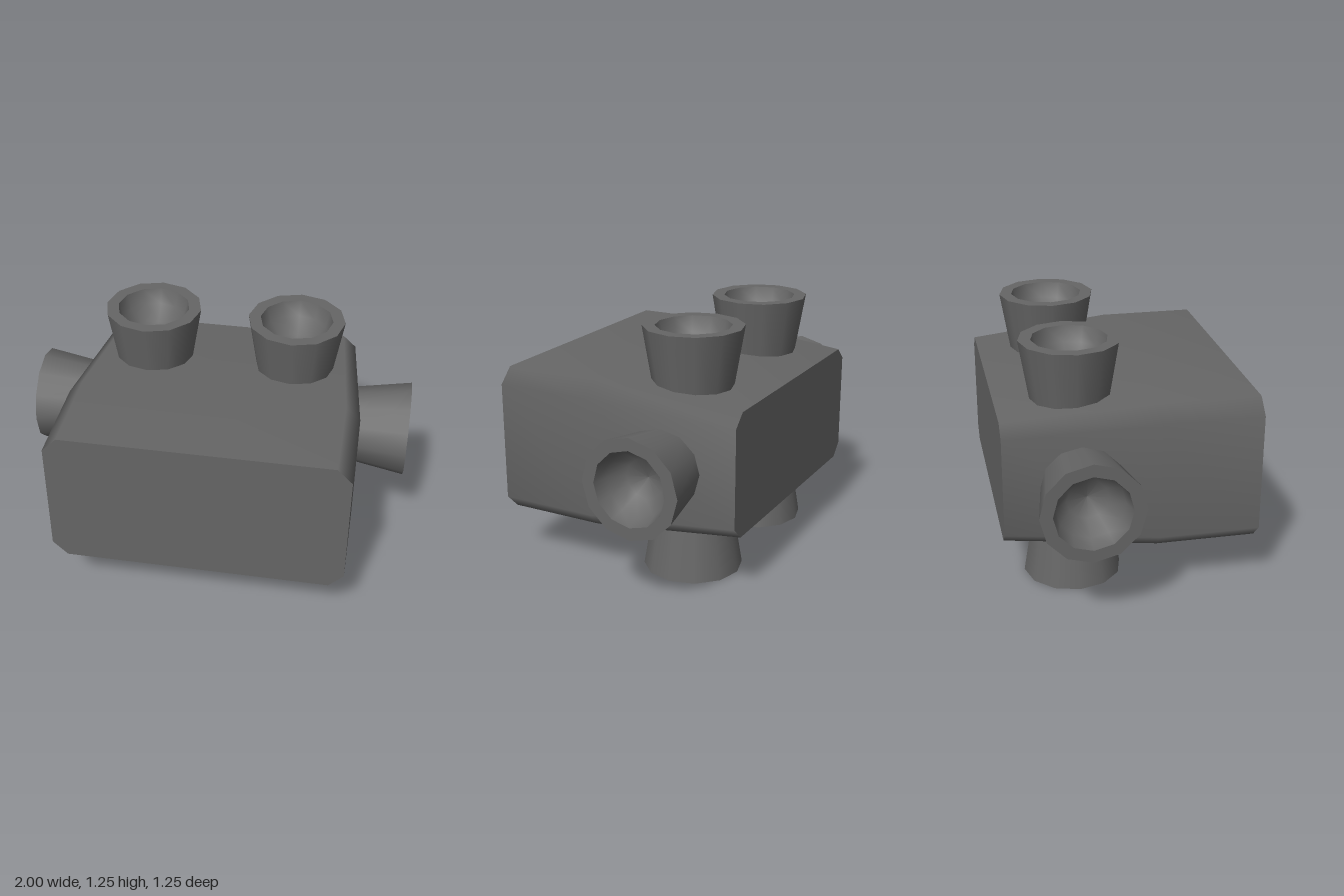
import * as THREE from 'three';

const CENTRE_Y = 0.625;
const grey = new THREE.MeshStandardMaterial({ color: 0x666666 });
grey.name = 'dark grey';

// Chamfered rectangle, counter-clockwise seen from the front
function ring(w, h, cx, cy, z) {
  return [
    [w, -h + cy], [w, h - cy], [w - cx, h], [-w + cx, h],
    [-w, h - cy], [-w, -h + cy], [-w + cx, -h], [w - cx, -h],
  ].map(([x, y]) => [x, y + CENTRE_Y, z]);
}

function geometryFrom(points, index) {
  const g = new THREE.BufferGeometry();
  g.setAttribute('position', new THREE.Float32BufferAttribute(points.flat(), 3));
  g.setIndex(index);
  g.computeVertexNormals();
  return g;
}

// Block with smooth sides that narrows toward the back, and flat ends
function makeBody() {
  const body = new THREE.Group();
  body.name = 'body';
  const rings = [
    ring(0.75, 0.375, 0.075, 0.075, 0.625),
    ring(0.75, 0.375, 0.075, 0.075, 0.125),
    ring(0.675, 0.3125, 0.0675, 0.0625, -0.625),
  ];
  const n = rings[0].length;
  const sides = [];
  for (let r = 0; r < rings.length - 1; r++) {
    for (let i = 0; i < n; i++) {
      const j = (i + 1) % n;
      const a = r * n + i, b = r * n + j, c = a + n, d = b + n;
      sides.push(a, c, b, b, c, d);
    }
  }
  const front = [], back = [];
  for (let i = 1; i < n - 1; i++) {
    front.push(0, i, i + 1);
    back.push(0, i + 1, i);
  }
  const parts = {
    bodySides: geometryFrom(rings.flat(), sides),
    bodyFront: geometryFrom(rings[0], front),
    bodyBack: geometryFrom(rings[2], back),
  };
  for (const [name, g] of Object.entries(parts)) {
    const mesh = new THREE.Mesh(g, grey);
    mesh.name = name;
    body.add(mesh);
  }
  return body;
}

// Flared nozzle pointing up +y, with its rim at y = 0 and a hollow bowl
const nozzleProfiles = {
  nozzleWall: [[0.1875, -0.375], [0.25, 0]],
  nozzleRim: [[0.25, 0], [0.1875, 0]],
  nozzleBowl: [[0.1875, 0], [0.165, -0.08], [0.1, -0.15], [0, -0.18]],
};
const nozzleGeometries = Object.entries(nozzleProfiles).map(([name, pts]) => [
  name, new THREE.LatheGeometry(pts.map(([x, y]) => new THREE.Vector2(x, y)), 12),
]);

function makeNozzle(name, position, rotationX, rotationZ) {
  const nozzle = new THREE.Group();
  nozzle.name = name;
  for (const [part, g] of nozzleGeometries) {
    const mesh = new THREE.Mesh(g, grey);
    mesh.name = part;
    nozzle.add(mesh);
  }
  nozzle.position.set(...position);
  nozzle.rotation.set(rotationX, 0, rotationZ);
  return nozzle;
}

export function createModel() {
  const model = new THREE.Group();
  model.name = 'thrusterBlock';
  model.add(makeBody());
  // Two nozzles above, two below and one on each side
  for (const [side, s] of [['left', 1], ['right', -1]]) {
    model.add(
      makeNozzle(side + 'TopNozzle', [s * 0.375, 1.25, -0.25], 0, 0),
      makeNozzle(side + 'BottomNozzle', [s * 0.375, 0, -0.25], Math.PI, 0),
      makeNozzle(side + 'SideNozzle', [s, CENTRE_Y, -0.25], 0, -s * Math.PI / 2),
    );
  }
  return model;
}
